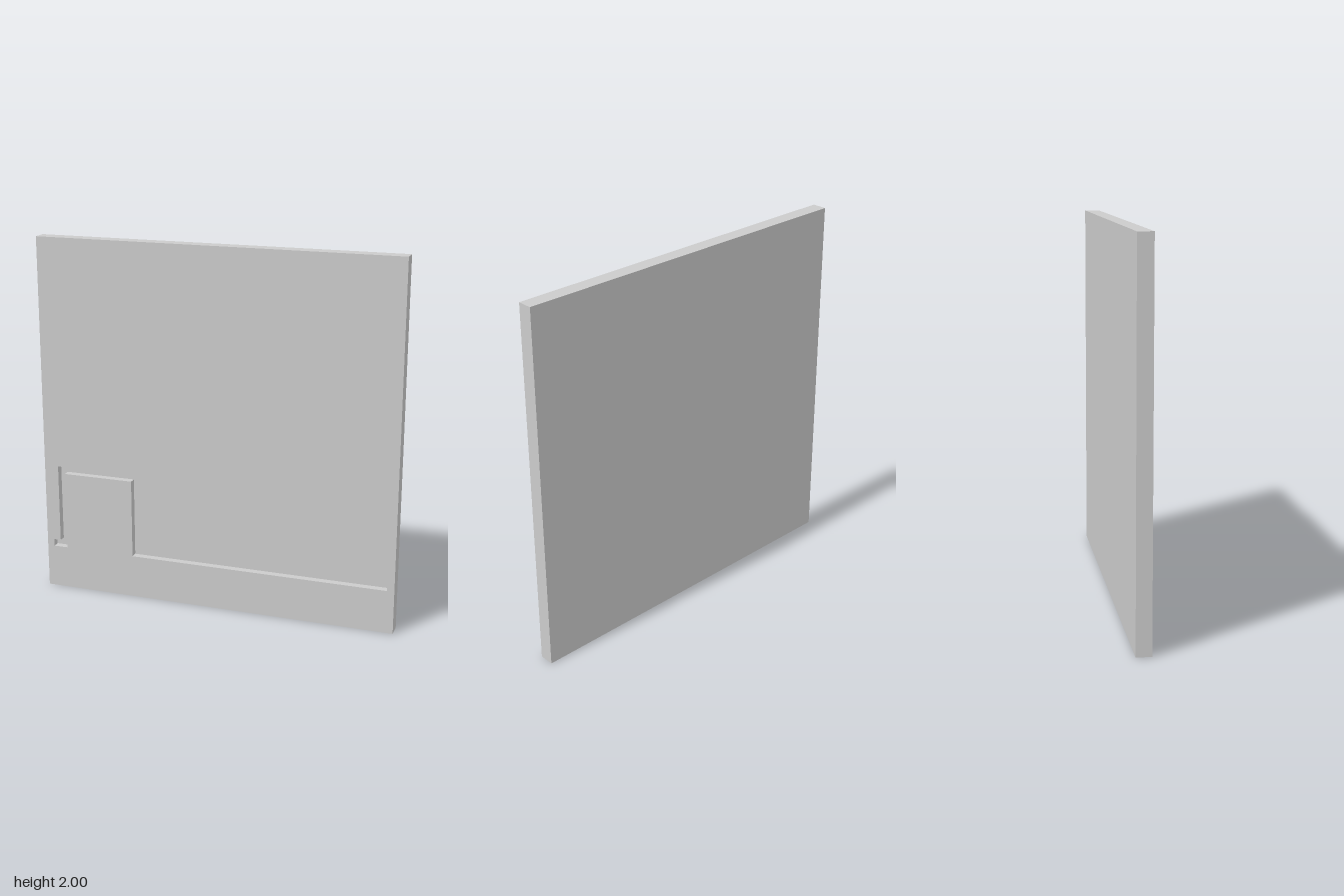
import * as THREE from 'three';
import { mergeGeometries } from 'three/addons/utils/BufferGeometryUtils.js';

const FRONT = 0.04, BACK = -0.04, FLOOR = 0;
const points = (list) => list.map(([x, y]) => new THREE.Vector2(x, y));

// Flat face at depth z
function cap(outline, z, hole) {
  const shape = new THREE.Shape(outline);
  if (hole) shape.holes.push(new THREE.Path(hole));
  return new THREE.ShapeGeometry(shape).translate(0, 0, z).toNonIndexed();
}

// Walls along a closed outline; they face outward when it runs counterclockwise
function walls(outline, z0, z1) {
  const pos = [], uv = [];
  outline.forEach((a, i) => {
    const b = outline[(i + 1) % outline.length];
    pos.push(a.x, a.y, z0, b.x, b.y, z0, b.x, b.y, z1);
    pos.push(a.x, a.y, z0, b.x, b.y, z1, a.x, a.y, z1);
    uv.push(0, 0, 1, 0, 1, 1, 0, 0, 1, 1, 0, 1);
  });
  const g = new THREE.BufferGeometry();
  g.setAttribute('position', new THREE.Float32BufferAttribute(pos, 3));
  g.setAttribute('uv', new THREE.Float32BufferAttribute(uv, 2));
  g.computeVertexNormals();
  return g;
}

export function createModel() {
  const group = new THREE.Group();
  const material = new THREE.MeshStandardMaterial({ color: 0xcccccc });
  const add = (name, parts) => {
    const mesh = new THREE.Mesh(mergeGeometries(parts), material);
    mesh.name = name;
    group.add(mesh);
  };

  const square = points([[-1, 0], [1, 0], [1, 2], [-1, 2]]);
  // Groove outline, clockwise so that its walls face into the groove
  const groove = points([
    [-0.96, 0.24], [-0.96, 0.28], [-0.92, 0.28], [-0.92, 0.72], [-0.44, 0.72], [-0.44, 0.28],
    [0.96, 0.28], [0.96, 0.24], [-0.48, 0.24], [-0.48, 0.68], [-0.88, 0.68], [-0.88, 0.24],
  ]);

  // Square panel: grooved front, plain back and four edges
  const back = cap(square, 0).rotateY(Math.PI).translate(0, 0, BACK);
  add('panel', [cap(square, FRONT, groove), back, walls(square, BACK, FRONT)]);

  // Stepped groove cut to half the panel thickness
  add('groove', [cap(groove, FLOOR), walls(groove, FLOOR, FRONT)]);

  return group;
}
